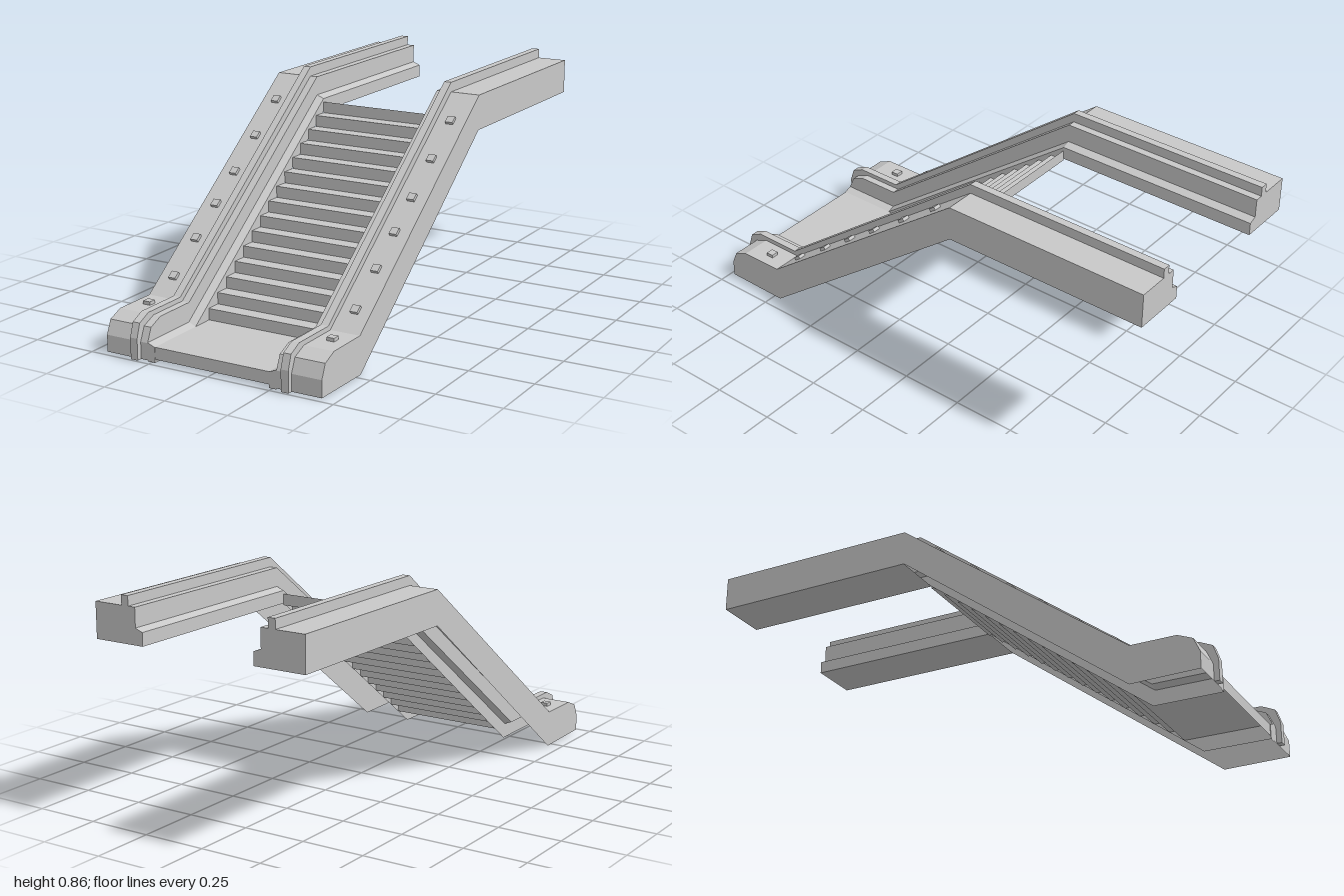
import * as THREE from 'three';

const grey = new THREE.MeshStandardMaterial({ color: 0xc8c8c8, side: THREE.DoubleSide, flatShading: true });
grey.name = 'light grey';

// Side profiles as [z, y], running from the lower front to the upper back
const bodyTop = [[0.98, 0.004], [0.98, 0.068], [0.957, 0.12], [0.9, 0.144], [0.725, 0.144], [-0.18, 0.82], [-1, 0.82]];
const railTop = [[1, 0.004], [1, 0.085], [0.982, 0.138], [0.93, 0.162], [0.737, 0.162], [-0.18, 0.857], [-1, 0.857]];
const skirtTop = [[0.98, 0], [0.98, 0.07], [0.73, 0.07], [-0.18, 0.747], [-1, 0.747]];
const skirtLow = [[0.98, 0], [0.98, 0.058], [0.73, 0.058], [-0.18, 0.735], [-1, 0.735]];
const underside = [[-1, 0.685], [-0.18, 0.685], [0.72, 0]];

const OUTER = 0.445, WALL = 0.267, INNER = 0.237;
const RAIL_IN = 0.297, RAIL_OUT = 0.327;

function add(parent, name, geometry) {
  const mesh = new THREE.Mesh(geometry, grey);
  mesh.name = name;
  parent.add(mesh);
  return mesh;
}

// Ribbon between two profiles placed at two x positions
function ribbon(a, xa, b, xb) {
  const pos = [];
  for (let i = 0; i < a.length - 1; i++) {
    const p = [xa, a[i][1], a[i][0]], q = [xb, b[i][1], b[i][0]];
    const r = [xb, b[i + 1][1], b[i + 1][0]], s = [xa, a[i + 1][1], a[i + 1][0]];
    pos.push(...p, ...q, ...r, ...p, ...r, ...s);
  }
  const g = new THREE.BufferGeometry();
  g.setAttribute('position', new THREE.Float32BufferAttribute(pos, 3));
  g.computeVertexNormals();
  return g;
}

const sideShape = pts => new THREE.Shape(pts.map(([z, y]) => new THREE.Vector2(-z, y)));

// Flat upright panel at a given x
function panel(pts, x) {
  return new THREE.ShapeGeometry(sideShape(pts)).rotateY(Math.PI / 2).translate(x, 0, 0);
}

function balustrade(s) {
  const g = new THREE.Group();
  g.name = s > 0 ? 'leftBalustrade' : 'rightBalustrade';

  // Hollow casing, open beneath the slope
  add(g, 'casingTop', ribbon(bodyTop, s * WALL, bodyTop, s * OUTER));
  add(g, 'outerWall', panel([...bodyTop, ...underside], s * OUTER));
  add(g, 'innerWall', panel([...bodyTop.slice(1), ...skirtTop.slice(1).reverse()], s * WALL));
  add(g, 'skirtLedge', ribbon(skirtLow, s * INNER, skirtTop, s * WALL));
  add(g, 'skirtWall', panel([...skirtLow, ...underside], s * INNER));
  add(g, 'upperUnderside', ribbon(underside.slice(0, 2), s * INNER, underside.slice(0, 2), s * OUTER));

  // End cap at the upper back
  const cap = [[INNER, 0.685], [OUTER, 0.685], [OUTER, 0.82], [WALL, 0.82], [WALL, 0.747], [INNER, 0.735]];
  const capShape = new THREE.Shape(cap.map(([x, y]) => new THREE.Vector2(s * x, y)));
  add(g, 'endCap', new THREE.ShapeGeometry(capShape).translate(0, 0, -1));

  // Handrail standing on the casing
  const rail = new THREE.ExtrudeGeometry(sideShape([...railTop, ...bodyTop.slice().reverse()]),
    { depth: RAIL_OUT - RAIL_IN, bevelEnabled: false });
  rail.rotateY(Math.PI / 2).translate(s > 0 ? RAIL_IN : -RAIL_OUT, 0, 0);
  add(g, 'handrail', rail);

  // Small lamps along the slope and one on the lower end
  const [z0, y0] = bodyTop[4], [z1, y1] = bodyTop[5];
  const slope = (y1 - y0) / (z0 - z1), angle = Math.atan(slope);
  for (const z of [-0.063, 0.09, 0.24, 0.37, 0.505, 0.65, 0.808]) {
    const onSlope = z < z0;
    const lamp = add(g, 'lamp', new THREE.BoxGeometry(0.03, 0.016, 0.03));
    lamp.position.set(s * 0.385, y0 + (onSlope ? (z0 - z) * slope : 0) + 0.005, z);
    if (onSlope) lamp.rotation.x = angle;
  }
  return g;
}

export function createModel() {
  const model = new THREE.Group();
  model.name = 'escalator';
  model.add(balustrade(1), balustrade(-1));

  // Landing plate with its front lip
  const landing = [[0.978, 0.012], [0.978, 0.058], [0.645, 0.058]];
  add(model, 'landing', ribbon(landing, -INNER, landing, INNER));

  // Fifteen risers with treads between them
  const count = 15, rise = 0.664 / count, run = 0.825 / (count - 1);
  const steps = [[0.645, 0.058]];
  for (let i = 0; i < count; i++) {
    const z = 0.645 - i * run, y = 0.058 + (i + 1) * rise;
    steps.push([z, y]);
    if (i < count - 1) steps.push([z - run, y]);
  }
  add(model, 'steps', ribbon(steps, -INNER, steps, INNER));
  return model;
}
